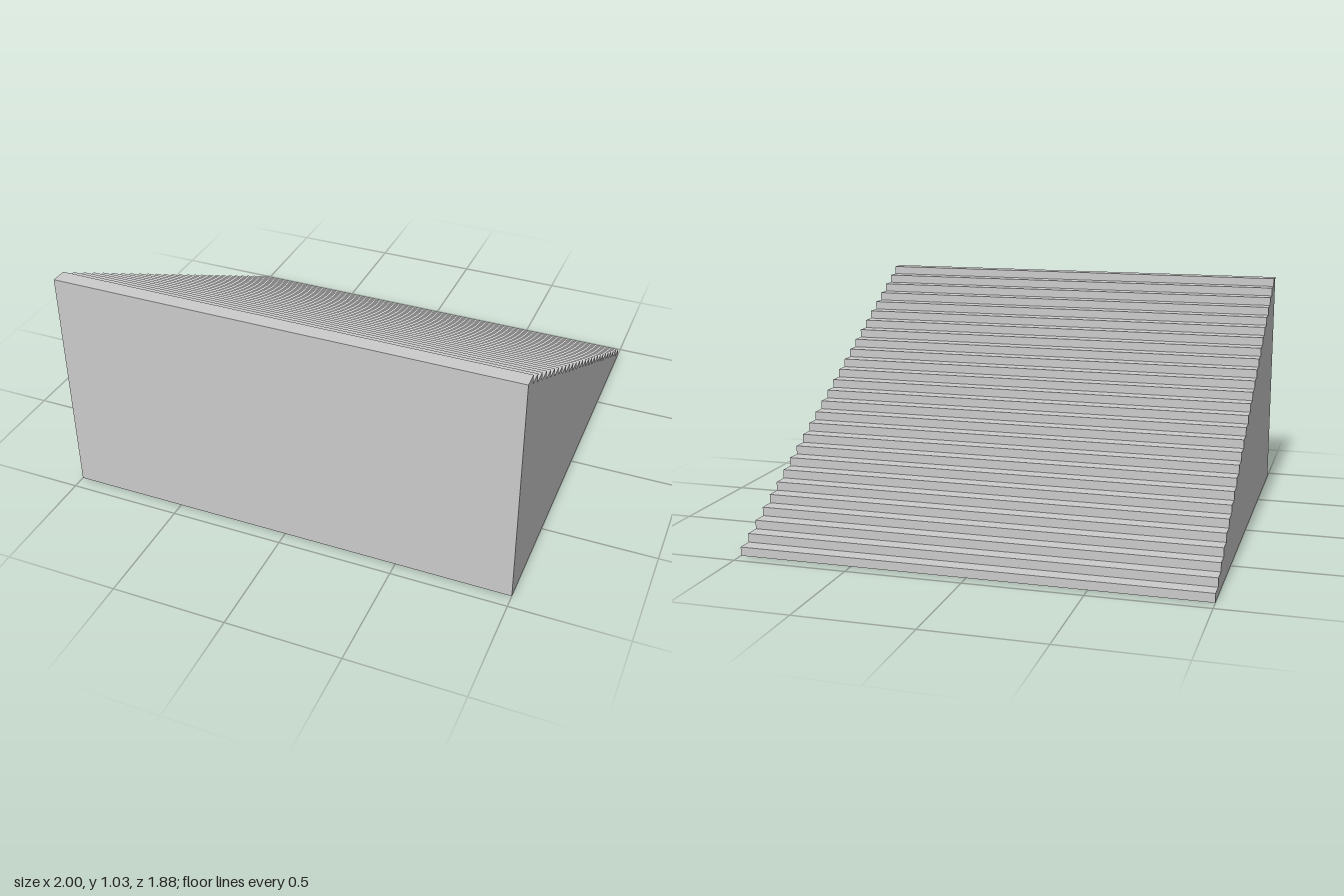
import * as THREE from 'three';
import { mergeGeometries } from 'three/addons/utils/BufferGeometryUtils.js';

const STEPS = 27, WIDTH = 2, HEIGHT = 1.028, DEPTH = 1.878;
const RISE = HEIGHT / STEPS, RUN = DEPTH / STEPS;
const BACK = -DEPTH / 2, FRONT = DEPTH / 2;

export function createModel() {
  const group = new THREE.Group();
  const material = new THREE.MeshStandardMaterial({ color: 0xcccccc, side: THREE.DoubleSide });
  const add = (name, geometry) => {
    const mesh = new THREE.Mesh(geometry, material);
    mesh.name = name;
    group.add(mesh);
  };

  // Flights of thin treads and risers climbing from back to front
  const treads = [], risers = [];
  for (let i = 0; i < STEPS; i++) {
    const z = BACK + i * RUN, y = i * RISE;
    treads.push(new THREE.PlaneGeometry(WIDTH, RUN).rotateX(-Math.PI / 2).translate(0, y + RISE, z + RUN / 2));
    risers.push(new THREE.PlaneGeometry(WIDTH, RISE).rotateY(Math.PI).translate(0, y + RISE / 2, z));
  }
  add('treads', mergeGeometries(treads));
  add('risers', mergeGeometries(risers));

  // Stepped side walls, each facing outwards; the underside stays open
  for (const side of [1, -1]) {
    const shape = new THREE.Shape().moveTo(-side * FRONT, 0).lineTo(-side * BACK, 0);
    for (let i = 0; i < STEPS; i++) {
      shape.lineTo(-side * (BACK + i * RUN), (i + 1) * RISE);
      shape.lineTo(-side * (BACK + (i + 1) * RUN), (i + 1) * RISE);
    }
    const wall = new THREE.ShapeGeometry(shape).rotateY(side * Math.PI / 2).translate(side * WIDTH / 2, 0, 0);
    add(side > 0 ? 'leftWall' : 'rightWall', wall);
  }

  // Tall upright wall under the top step
  add('frontWall', new THREE.PlaneGeometry(WIDTH, HEIGHT).translate(0, HEIGHT / 2, FRONT));

  return group;
}
